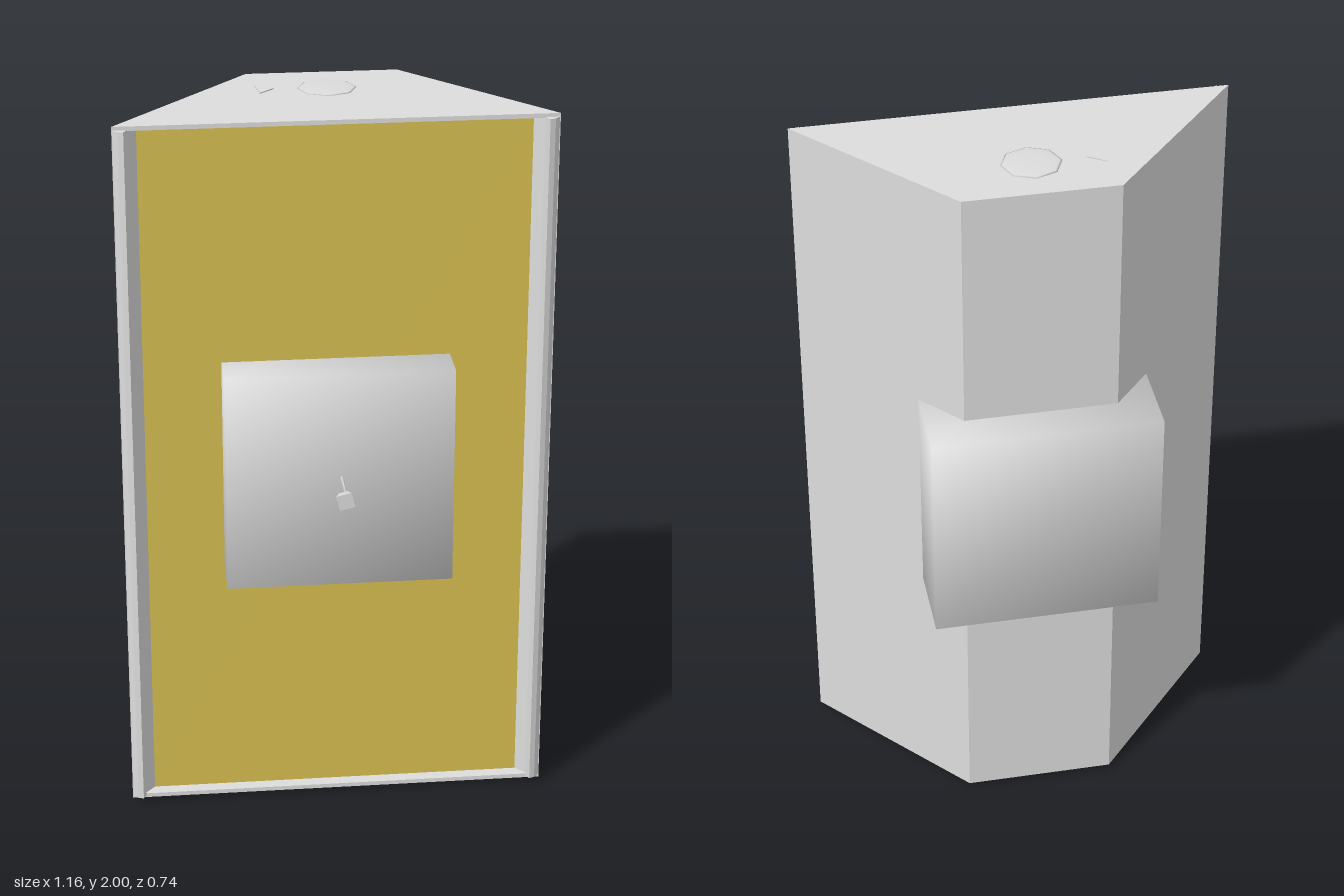
import * as THREE from 'three';
import { mergeVertices } from 'three/addons/utils/BufferGeometryUtils.js';

const grey = new THREE.MeshStandardMaterial({ color: 0xdcdcdc });
grey.name = 'lightGrey';
const yellow = new THREE.MeshStandardMaterial({ color: 0xd6bd50 });
yellow.name = 'mustardYellow';

const BOTTOM = 0.013, TOP = 1.995, SLAB = 0.012;

// Upright prism from a plan outline of [x, z] points
function prism(points, y0, y1) {
  const shape = new THREE.Shape(points.map(([x, z]) => new THREE.Vector2(x, -z)));
  const geometry = new THREE.ExtrudeGeometry(shape, { depth: y1 - y0, bevelEnabled: false });
  return geometry.rotateX(-Math.PI / 2).translate(0, y0, 0);
}

// Box whose normals are shared across its corners, for soft shading
function softBox(w, h, d) {
  const box = new THREE.BoxGeometry(w, h, d);
  box.deleteAttribute('normal');
  box.deleteAttribute('uv');
  const geometry = mergeVertices(box);
  geometry.computeVertexNormals();
  return geometry;
}

export function createModel() {
  const model = new THREE.Group();
  const add = (name, geometry, material, x = 0, y = 0, z = 0) => {
    const mesh = new THREE.Mesh(geometry, material);
    mesh.name = name;
    mesh.position.set(x, y, z);
    model.add(mesh);
    return mesh;
  };

  // Open-fronted case: wall with a slanted side on each hand, closed by two slabs
  const outer = [[-0.58, 0.155], [-0.205, -0.27], [0.205, -0.27], [0.58, 0.155]];
  const inner = [[0.547, 0.155], [0.19, -0.245], [-0.19, -0.245], [-0.547, 0.155]];
  add('caseWall', prism([...outer, ...inner], BOTTOM + SLAB, TOP - SLAB), grey);
  add('caseBottom', prism(outer, BOTTOM, BOTTOM + SLAB), grey);
  add('caseTop', prism(outer, TOP - SLAB, TOP), grey);

  // Ridged trim down both front edges
  for (const side of [-1, 1]) {
    const ridge = [[0.578, 0.155], [0.565, 0.168], [0.55, 0.174], [0.541, 0.155]];
    add(side < 0 ? 'rightTrim' : 'leftTrim',
      prism(ridge.map(([x, z]) => [x * side, z]), 0.02, 1.985), grey);
  }

  // Recessed front panel
  add('frontPanel', new THREE.BoxGeometry(1.034, TOP - BOTTOM - 2 * SLAB, 0.008), yellow,
    0, (TOP + BOTTOM) / 2, 0.116);

  // Block running through the case from front to back
  add('block', softBox(0.614, 0.615, 0.612), grey, 0, 1.0125, -0.066);

  // Thin stem and flared tip on the front of the block
  const stem = new THREE.CylinderGeometry(0.003, 0.005, 0.1, 4).rotateX(Math.PI / 2);
  add('stem', stem, grey, 0.003, 1.023, 0.285);
  const tip = new THREE.CylinderGeometry(0.03, 0.016, 0.038, 4).toNonIndexed();
  tip.computeVertexNormals();
  tip.rotateY(Math.PI / 4 + 0.25).rotateX(Math.PI / 2);
  add('tip', tip, grey, 0, 1.013, 0.352);

  // Low dome and small pointer on top, small stud underneath
  const dome = new THREE.SphereGeometry(1, 8, 4, 0, Math.PI * 2, 0, Math.PI / 2);
  add('topDome', dome, grey, 0, TOP, -0.125).scale.set(0.08, 0.005, 0.076);
  add('topPointer', prism([[-0.19, -0.157], [-0.18, -0.088], [-0.142, -0.125]], TOP, TOP + 0.003), grey);
  add('bottomStud', new THREE.CylinderGeometry(0.032, 0.024, BOTTOM, 6), grey, 0, BOTTOM / 2, -0.015);

  return model;
}
